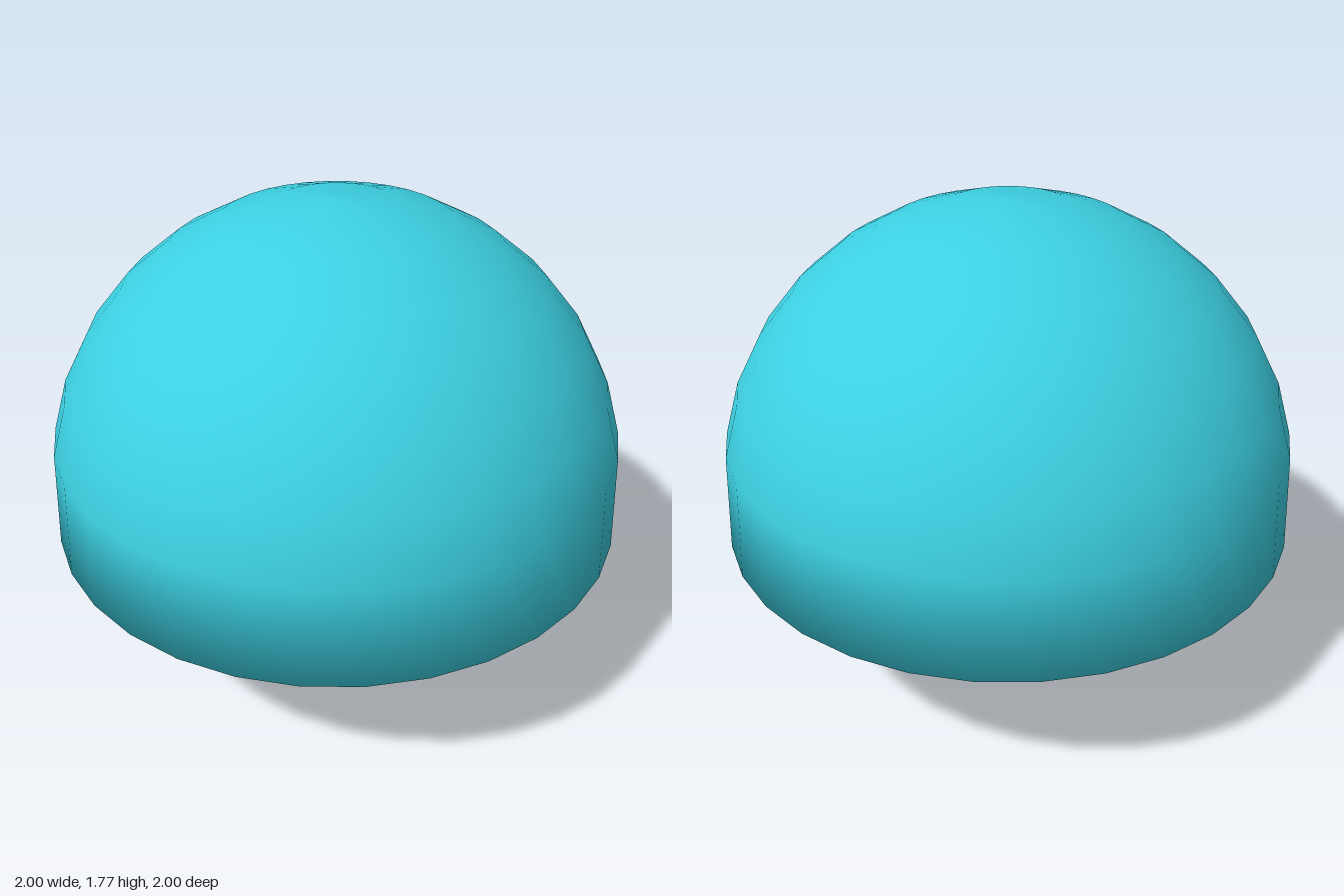
import * as THREE from 'three';

// Points on a circular arc; angles are counted in steps of 11.25 degrees from straight down
function arc(radius, centerY, from, to) {
  const points = [];
  for (let i = from; i <= to; i++) {
    const a = (i * Math.PI) / 16;
    const r = i === 0 || i === 16 ? 0 : radius * Math.sin(a);
    points.push(new THREE.Vector2(r, centerY - radius * Math.cos(a)));
  }
  return points;
}

export function createModel() {
  const group = new THREE.Group();
  const turquoise = new THREE.MeshStandardMaterial({ color: 0x3cd0e2 });
  turquoise.name = 'turquoise';

  // One smooth profile, bottom to top: round foot, flared underside, rim, dome
  const profile = [
    ...arc(0.44, 0.44, 0, 6),
    new THREE.Vector2(0.435, 0.363),
    new THREE.Vector2(1, 0.625),
    ...arc(1, 0.775, 9, 16),
  ];
  const body = new THREE.Mesh(new THREE.LatheGeometry(profile, 32), turquoise);
  body.name = 'domedCapWithRoundFoot';
  group.add(body);
  return group;
}
